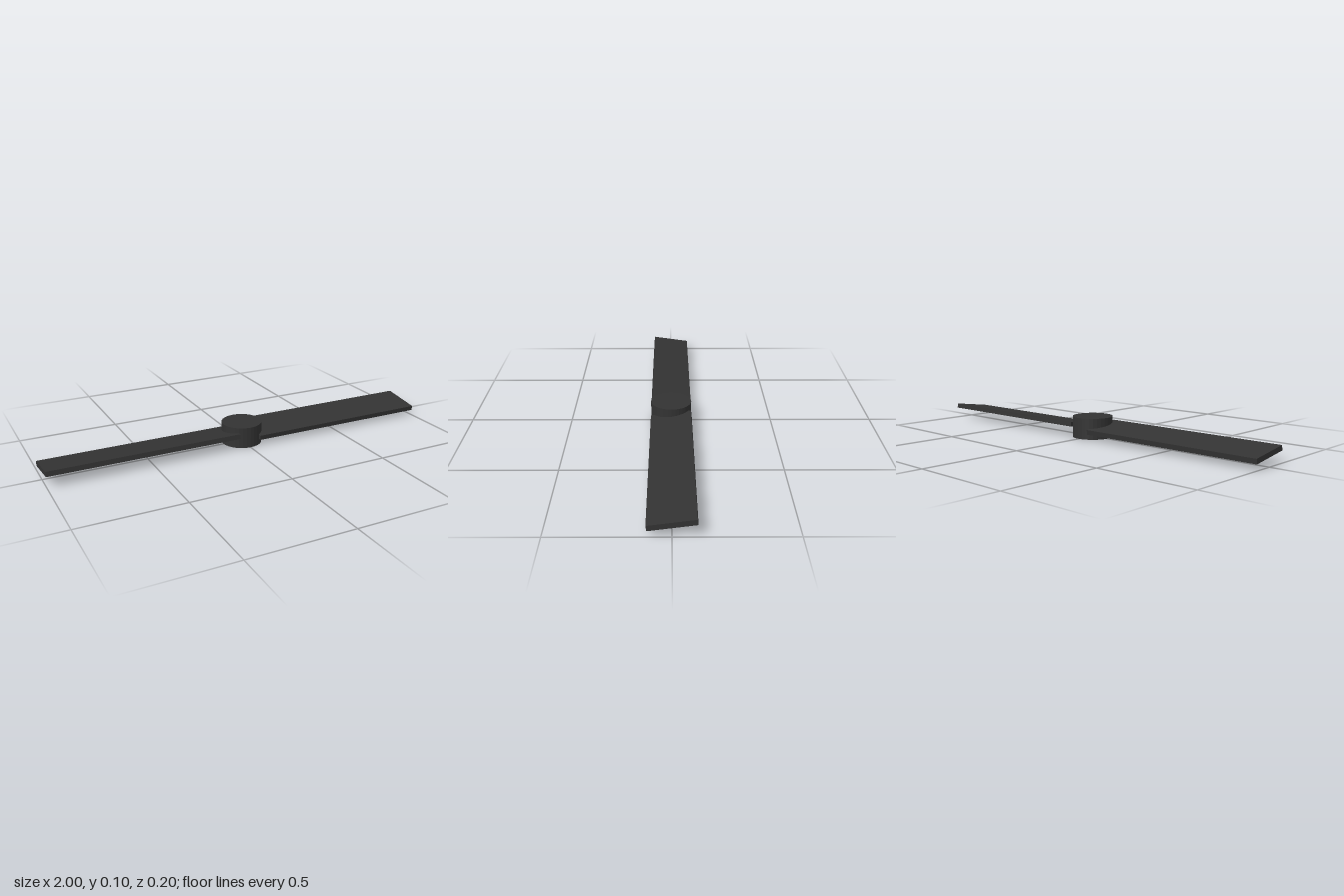
import * as THREE from 'three';

export function createModel() {
  const model = new THREE.Group();
  model.name = 'propeller';
  const darkGrey = new THREE.MeshStandardMaterial({ color: 0x333333, flatShading: true });
  darkGrey.name = 'darkGrey';

  const hubHeight = 0.104;
  const midY = hubHeight / 2 + 0.001;

  // Central hub
  const hub = new THREE.Mesh(new THREE.CylinderGeometry(0.1, 0.1, hubHeight, 32), darkGrey);
  hub.name = 'hub';
  hub.position.y = hubHeight / 2;
  model.add(hub);

  // Two pitched blades, the second turned half a revolution about the hub
  const innerX = 0.055, pitch = THREE.MathUtils.degToRad(8);
  const bladeGeometry = new THREE.BoxGeometry(1 - innerX, 0.024, 0.2);
  bladeGeometry.rotateX(pitch);
  bladeGeometry.translate((1 + innerX) / 2, midY, 0);
  ['leftBlade', 'rightBlade'].forEach((name, i) => {
    const blade = new THREE.Mesh(bladeGeometry, darkGrey);
    blade.name = name;
    blade.rotation.y = i * Math.PI;
    model.add(blade);
  });

  return model;
}
